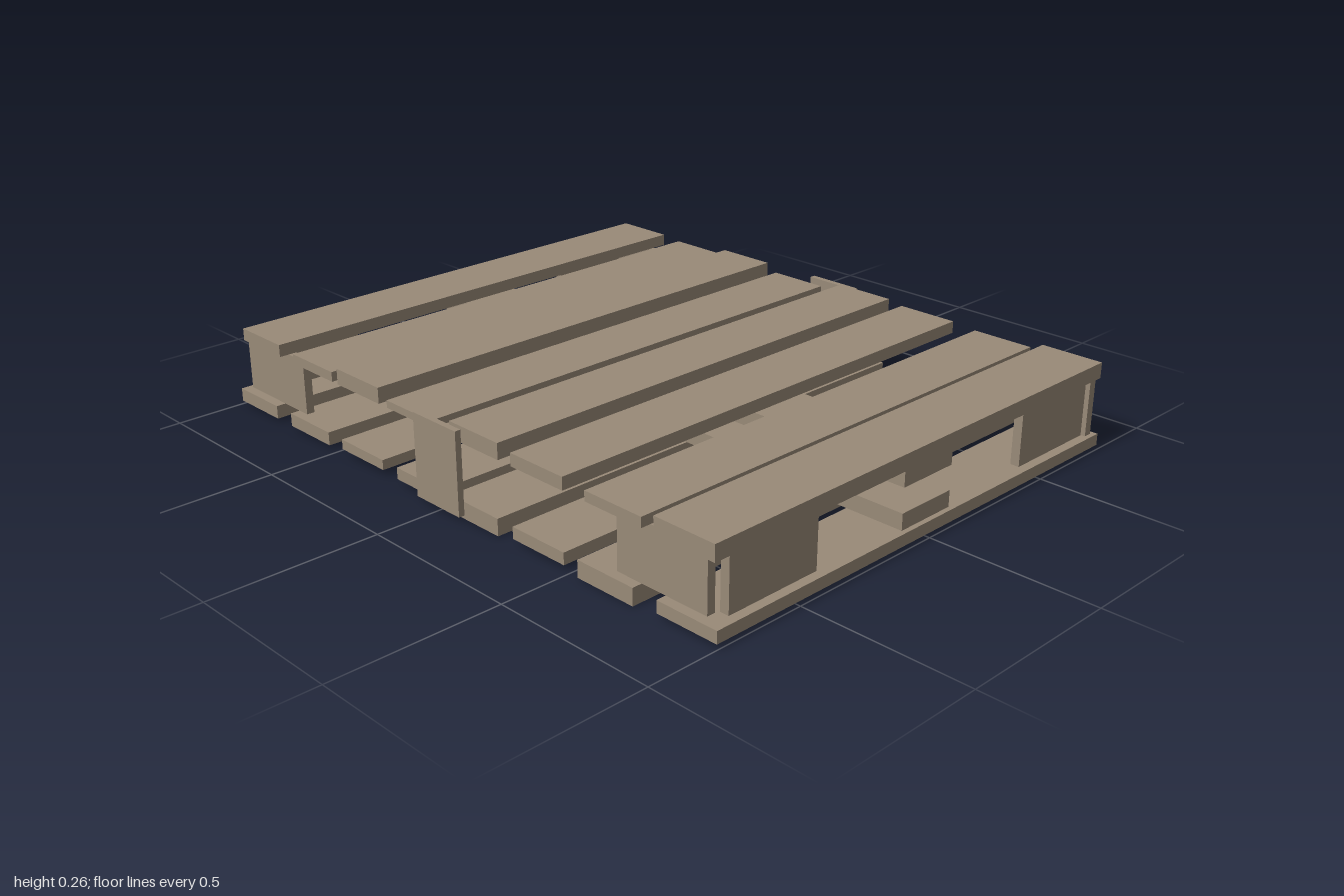
import * as THREE from 'three';

export function createModel() {
  const model = new THREE.Group();
  model.name = 'pallet';
  const wood = new THREE.MeshStandardMaterial({ color: 0x998a78, flatShading: true });

  // Box given by its extents along each axis
  function board(name, [x0, x1], [y0, y1], [z0, z1]) {
    const mesh = new THREE.Mesh(new THREE.BoxGeometry(x1 - x0, y1 - y0, z1 - z0), wood);
    mesh.position.set((x0 + x1) / 2, (y0 + y1) / 2, (z0 + z1) / 2);
    mesh.name = name;
    model.add(mesh);
  }

  const width = [-0.785, 0.78];
  const slatDepth = 0.195;

  // Deck slats: [back edge z, top y]
  const topSlats = [
    [0.795, 0.265], [0.56, 0.247], [0.285, 0.255], [0.04, 0.265],
    [-0.235, 0.24], [-0.468, 0.265], [-0.69, 0.247], [-0.957, 0.255],
  ];
  topSlats.forEach(([z, y], i) => board(`topSlat${i + 1}`, width, [0.218, y], [z, z + slatDepth]));

  // Base slats: [back edge z, bottom y]
  const bottomSlats = [
    [0.805, 0.015], [0.53, 0], [0.285, 0.015], [0.03, 0],
    [-0.207, 0.015], [-0.468, 0.02], [-0.73, 0.01], [-1, 0.01],
  ];
  bottomSlats.forEach(([z, y], i) => board(`bottomSlat${i + 1}`, width, [y, 0.05], [z, z + slatDepth]));

  // Centre stringers running front to back
  board('topStringer', [-0.1, 0.095], [0.17, 0.218], [-0.985, 0.985]);
  board('bottomStringer', [-0.1, 0.095], [0.05, 0.098], [-0.985, 0.985]);

  // Outer plates joining the decks halfway along each side
  board('leftMiddlePlate', [0.782, 0.8], [0.01, 0.26], [-0.087, 0.092]);
  board('rightMiddlePlate', [-0.803, -0.785], [0.01, 0.255], [-0.092, 0.087]);

  // Corner supports: a side plate and an end plate at each corner
  const height = [0.05, 0.218];
  board('frontLeftSidePlate', [0.738, 0.764], height, [0.69, 0.985]);
  board('frontLeftEndPlate', [0.43, 0.736], height, [0.945, 0.972]);
  board('frontRightSidePlate', [-0.755, -0.73], height, [0.64, 0.94]);
  board('frontRightEndPlate', [-0.718, -0.412], height, [0.945, 0.972]);
  board('backLeftSidePlate', [0.703, 0.727], height, [-0.915, -0.62]);
  board('backLeftEndPlate', [0.43, 0.728], height, [-0.938, -0.916]);
  board('backRightSidePlate', [-0.755, -0.73], height, [-0.985, -0.69]);
  board('backRightEndPlate', [-0.718, -0.412], height, [-0.938, -0.914]);

  return model;
}
